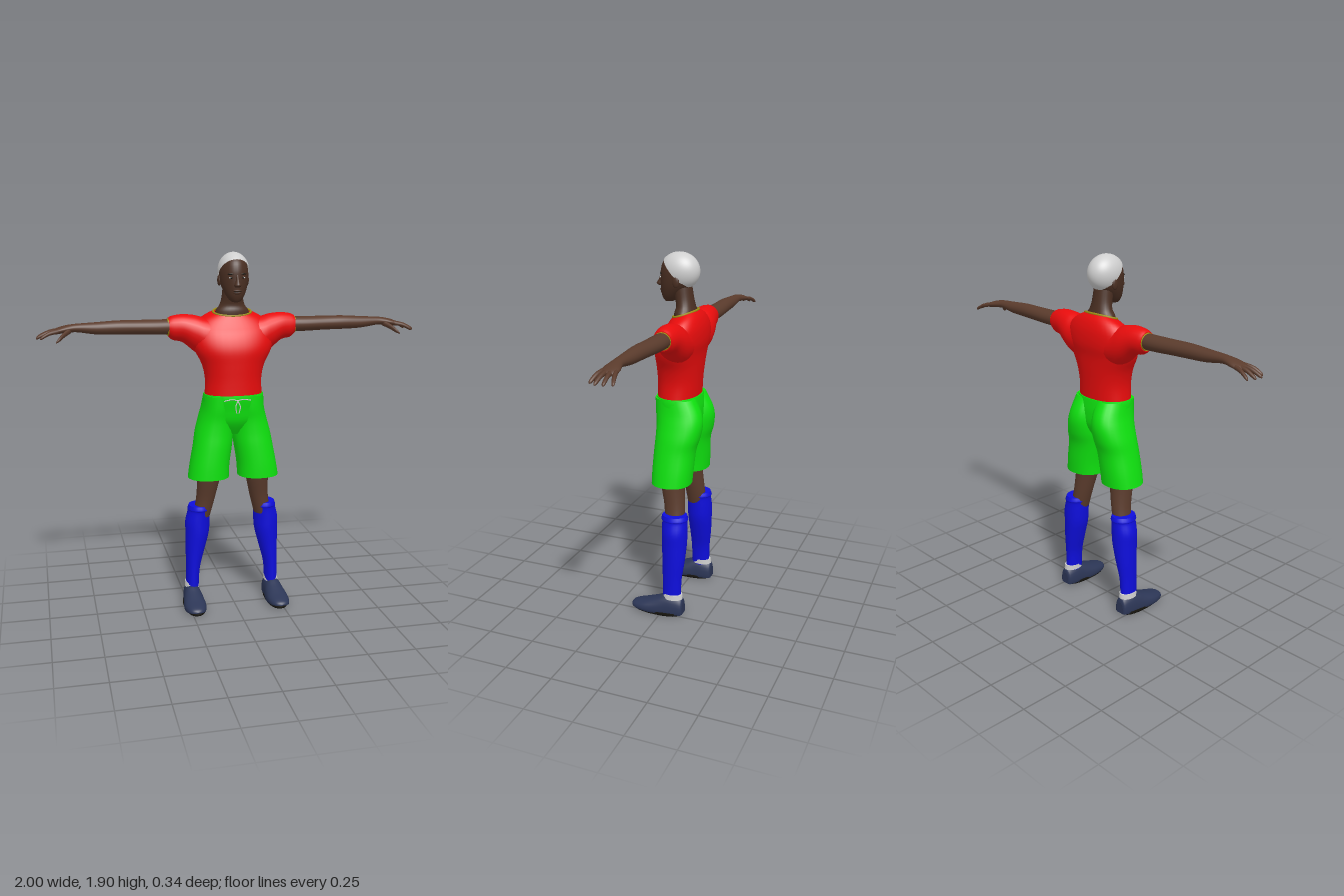
import * as THREE from 'three';

const mat = (name, color, side = THREE.FrontSide) => {
  const m = new THREE.MeshStandardMaterial({ color, side });
  m.name = name;
  return m;
};

// Offsets of the in-plane axes (u, v) and the sweep axis for each direction
const AXES = { x: [1, 2, 0], y: [2, 0, 1], z: [0, 1, 2] };

function smooth(rows, i, t) {
  const at = (k) => rows[Math.min(Math.max(k, 0), rows.length - 1)];
  const [a, b, c, d] = [at(i - 1), at(i), at(i + 1), at(i + 2)];
  return b.map((p, k) => {
    const m0 = (c[k] - a[k]) / 2, m1 = (d[k] - p) / 2, t2 = t * t, t3 = t2 * t;
    return (2 * t3 - 3 * t2 + 1) * p + (t3 - 2 * t2 + t) * m0 + (3 * t2 - 2 * t3) * c[k] + (t3 - t2) * m1;
  });
}

// Smooth skin through oval sections [position, centreU, centreV, radiusU, radiusV]
function loft(axis, sections, { sides = 24, steps = 4, power = 2, bottom = true, top = true, rule } = {}) {
  const [u, v, w] = AXES[axis], pos = [], index = [], rows = [];
  for (let i = 0; i < sections.length - 1; i++)
    for (let s = 0; s < steps; s++) rows.push(smooth(sections, i, s / steps));
  rows.push(sections[sections.length - 1]);
  const add = (p) => { if (rule) rule(p); pos.push(...p); };
  const round = (c) => Math.sign(c) * Math.abs(c) ** (2 / power);
  const ring = ([t, cu, cv, ru, rv]) => {
    for (let j = 0; j < sides; j++) {
      const a = (j / sides) * Math.PI * 2, p = [0, 0, 0];
      p[u] = cu + ru * round(Math.cos(a));
      p[v] = cv + rv * round(Math.sin(a));
      p[w] = t;
      add(p);
    }
  };
  rows.forEach(ring);
  for (let i = 0; i < rows.length - 1; i++)
    for (let j = 0; j < sides; j++) {
      const a = i * sides + j, b = i * sides + (j + 1) % sides;
      index.push(a, b, b + sides, a, b + sides, a + sides);
    }
  // Flat end caps
  for (const [row, wanted, up] of [[rows[0], bottom, false], [rows[rows.length - 1], top, true]]) {
    if (!wanted) continue;
    const base = pos.length / 3, p = [0, 0, 0];
    ring(row);
    p[u] = row[1]; p[v] = row[2]; p[w] = row[0];
    add(p);
    for (let j = 0; j < sides; j++) {
      const a = base + j, b = base + (j + 1) % sides;
      index.push(...(up ? [a, b, base + sides] : [b, a, base + sides]));
    }
  }
  const g = new THREE.BufferGeometry();
  g.setAttribute('position', new THREE.Float32BufferAttribute(pos, 3));
  g.setIndex(index);
  g.computeVertexNormals();
  return g;
}

// Mirror across x = 0, turning the faces back outwards
function mirror(geometry) {
  const g = geometry.clone().scale(-1, 1, 1), ix = g.index.array;
  for (let i = 0; i < ix.length; i += 3) [ix[i], ix[i + 1]] = [ix[i + 1], ix[i]];
  g.computeVertexNormals();
  return g;
}

const ball = (x, y, z, rx, ry, rz) => new THREE.SphereGeometry(1, 16, 12).scale(rx, ry, rz).translate(x, y, z);

export function createModel() {
  const model = new THREE.Group();
  const skin = mat('skin', 0x5a3b2c), face = mat('faceSkin', 0x4a2f22), dark = mat('blackRubber', 0x17150f);
  const grey = mat('paleGrey', 0xcfcfcf, THREE.DoubleSide), red = mat('redCloth', 0xf00d0d);
  const green = mat('greenCloth', 0x0fe30f, THREE.DoubleSide), blue = mat('blueKnit', 0x0e0edc);
  const navy = mat('navyShoe', 0x2c3656), yellow = mat('yellowTrim', 0x9c8c14);
  const add = (name, g, m) => {
    const mesh = new THREE.Mesh(g, m);
    mesh.name = name;
    model.add(mesh);
  };
  const pair = (name, g, m) => {
    add(name + 'Left', g, m);
    add(name + 'Right', mirror(g), m);
  };

  // Shirt: the neckline rises towards the back
  const neckTilt = (p) => { p[1] += Math.max(0, p[1] - 1.5) / 0.095 * (-0.045 - p[2]) * 0.3; };
  add('shirtBody', loft('y', [
    [1.165, -0.015, 0, 0.105, 0.152], [1.25, -0.017, 0, 0.108, 0.148], [1.33, -0.019, 0, 0.113, 0.165],
    [1.4, -0.022, 0, 0.117, 0.2], [1.46, -0.035, 0, 0.115, 0.215], [1.52, -0.048, 0, 0.1, 0.205],
    [1.565, -0.05, 0, 0.08, 0.16], [1.595, -0.045, 0, 0.06, 0.1],
  ], { sides: 40, power: 2.2, rule: neckTilt }), red);
  pair('sleeve', loft('x', [
    [0.08, 1.46, -0.045, 0.1, 0.09], [0.15, 1.467, -0.045, 0.102, 0.09], [0.2, 1.488, -0.05, 0.094, 0.082],
    [0.26, 1.515, -0.052, 0.072, 0.067], [0.31, 1.518, -0.053, 0.063, 0.056], [0.333, 1.522, -0.053, 0.049, 0.049],
  ]), red);
  pair('cuff', loft('x', [[0.328, 1.522, -0.053, 0.046, 0.047], [0.339, 1.522, -0.053, 0.043, 0.045]]), yellow);
  add('collar', new THREE.TorusGeometry(1, 0.06, 8, 40).rotateX(Math.PI / 2).scale(0.1, 0.1, 0.062)
    .rotateX(0.3).translate(0, 1.596, -0.045), yellow);

  // Shorts: a hip section and two open legs
  add('shortsHips', loft('y', [
    [0.96, -0.035, 0, 0.06, 0.08], [1.03, -0.03, 0, 0.1, 0.15], [1.1, -0.025, 0, 0.11, 0.16],
    [1.15, -0.018, 0, 0.112, 0.16], [1.175, -0.016, 0, 0.11, 0.157],
  ], { sides: 36, power: 2.3 }), green);
  pair('shortsLeg', loft('y', [
    [0.725, -0.022, 0.135, 0.104, 0.109], [0.8, -0.025, 0.127, 0.107, 0.105], [0.9, -0.03, 0.11, 0.109, 0.103],
    [0.97, -0.042, 0.1, 0.117, 0.1], [1.04, -0.047, 0.09, 0.122, 0.091], [1.1, -0.038, 0.083, 0.12, 0.083],
    [1.17, -0.018, 0.077, 0.104, 0.08],
  ], { power: 2.2, bottom: false }), green);

  // Drawstring: a bow and two hanging ends
  const cord = (pts) => new THREE.TubeGeometry(
    new THREE.CatmullRomCurve3(pts.map((p) => new THREE.Vector3(...p))), 12, 0.003, 5);
  pair('drawstring', cord([[0, 1.15, 0.096], [0.012, 1.12, 0.1], [0.006, 1.085, 0.096]]), grey);
  pair('drawstringBow', cord([[0, 1.152, 0.096], [0.03, 1.158, 0.097], [0.07, 1.15, 0.088]]), grey);

  // Legs, socks and shoes
  pair('leg', loft('y', [
    [0.5, -0.05, 0.17, 0.054, 0.046], [0.6, -0.042, 0.148, 0.055, 0.05],
    [0.73, -0.025, 0.131, 0.065, 0.062], [0.86, -0.025, 0.118, 0.078, 0.075],
  ]), skin);
  pair('sock', loft('y', [
    [0.09, -0.055, 0.222, 0.05, 0.034], [0.2, -0.055, 0.218, 0.052, 0.037], [0.3, -0.058, 0.206, 0.06, 0.05],
    [0.4, -0.058, 0.193, 0.067, 0.063], [0.47, -0.058, 0.19, 0.068, 0.066], [0.53, -0.056, 0.182, 0.067, 0.06],
    [0.54, -0.056, 0.181, 0.072, 0.063], [0.562, -0.055, 0.18, 0.066, 0.057],
  ]), blue);
  const flatBottom = (p) => { p[1] = Math.max(p[1], 0.012 + Math.max(0, p[2] - 0.1) * 0.2); };
  pair('shoe', loft('z', [
    [-0.121, 0.224, 0.03, 0.024, 0.045], [-0.112, 0.224, 0.03, 0.037, 0.07], [-0.07, 0.225, 0.03, 0.046, 0.085],
    [-0.02, 0.227, 0.03, 0.05, 0.082], [0.03, 0.228, 0.028, 0.057, 0.062], [0.09, 0.23, 0.027, 0.059, 0.04],
    [0.14, 0.231, 0.026, 0.046, 0.026], [0.162, 0.231, 0.026, 0.029, 0.016], [0.17, 0.231, 0.026, 0.008, 0.005],
  ], { power: 2.2, rule: flatBottom }), navy);
  pair('sole', loft('y', [[0, 0.02, 0.228, 0.125, 0.048], [0.008, 0.022, 0.228, 0.138, 0.054],
    [0.02, 0.022, 0.228, 0.138, 0.054]], { power: 2.4 }), dark);
  pair('shoeLining', loft('y', [[0.095, -0.06, 0.224, 0.056, 0.039], [0.122, -0.062, 0.223, 0.051, 0.037]]), grey);

  // Arms and hands
  pair('arm', loft('x', [
    [0.3, 1.523, -0.052, 0.04, 0.044], [0.4, 1.524, -0.052, 0.039, 0.048], [0.5, 1.526, -0.05, 0.037, 0.045],
    [0.6, 1.527, -0.046, 0.036, 0.041], [0.7, 1.526, -0.045, 0.031, 0.035], [0.79, 1.53, -0.046, 0.022, 0.028],
    [0.83, 1.528, -0.048, 0.02, 0.032], [0.87, 1.522, -0.05, 0.018, 0.041], [0.905, 1.514, -0.05, 0.014, 0.04],
    [0.92, 1.511, -0.05, 0.006, 0.03],
  ]), skin);
  const fingers = [[0.978, 0.002, -0.02], [0.998, -0.03, -0.04], [0.995, -0.068, -0.06], [0.98, -0.106, -0.078]];
  fingers.forEach(([tip, zTip, zBase], i) => {
    const at = (t, r) => [0.885 + (tip - 0.885) * t, 1.518 - 0.035 * t * t, zBase + (zTip - zBase) * t, r, r];
    pair('finger' + (i + 1), loft('x', [at(0, 0.011), at(0.5, 0.0105), at(0.9, 0.0085), at(1, 0.003)],
      { sides: 10 }), skin);
  });
  pair('thumb', loft('x', [
    [0.825, 1.52, -0.035, 0.014, 0.014], [0.86, 1.502, -0.003, 0.014, 0.015],
    [0.885, 1.482, 0.02, 0.011, 0.012], [0.902, 1.468, 0.032, 0.003, 0.003],
  ], { sides: 10 }), skin);

  // Neck and head
  add('neck', loft('y', [
    [1.55, -0.045, 0, 0.052, 0.095], [1.6, -0.045, 0, 0.054, 0.088], [1.63, -0.045, 0, 0.047, 0.067],
    [1.67, -0.037, 0, 0.047, 0.056], [1.73, -0.025, 0, 0.05, 0.052],
  ]), face);
  add('head', loft('y', [
    [1.652, 0.045, 0, 0.022, 0.018], [1.665, 0.038, 0, 0.038, 0.034], [1.69, 0.028, 0, 0.056, 0.05],
    [1.73, 0.008, 0, 0.08, 0.066], [1.77, -0.004, 0, 0.093, 0.073], [1.81, -0.008, 0, 0.095, 0.073],
    [1.85, -0.01, 0, 0.084, 0.063], [1.88, -0.01, 0, 0.052, 0.042], [1.892, -0.01, 0, 0.02, 0.018],
  ], { sides: 32 }), face);
  add('hair', new THREE.SphereGeometry(1, 40, 24, 0, Math.PI * 2, 0, 1.75).rotateX(-0.87)
    .scale(0.08, 0.095, 0.104).translate(0, 1.805, -0.012), grey);
  add('nose', loft('y', [
    [1.728, 0.088, 0, 0.012, 0.012], [1.738, 0.09, 0, 0.024, 0.018],
    [1.76, 0.086, 0, 0.016, 0.01], [1.79, 0.08, 0, 0.01, 0.008],
  ], { sides: 16 }), face);
  add('upperLip', ball(0, 1.711, 0.082, 0.024, 0.006, 0.01), face);
  add('lowerLip', ball(0, 1.699, 0.08, 0.021, 0.007, 0.01), face);
  add('mouthLine', ball(0, 1.705, 0.083, 0.022, 0.0018, 0.007), dark);
  pair('ear', ball(0.073, 1.758, -0.018, 0.009, 0.028, 0.018), face);
  pair('eyeWhite', ball(0.03, 1.775, 0.076, 0.012, 0.005, 0.007), grey);
  pair('pupil', ball(0.03, 1.775, 0.08, 0.005, 0.0052, 0.005), dark);
  pair('eyebrow', ball(0, 0, 0, 0.018, 0.004, 0.005).rotateY(0.35).translate(0.032, 1.793, 0.077), dark);
  return model;
}
